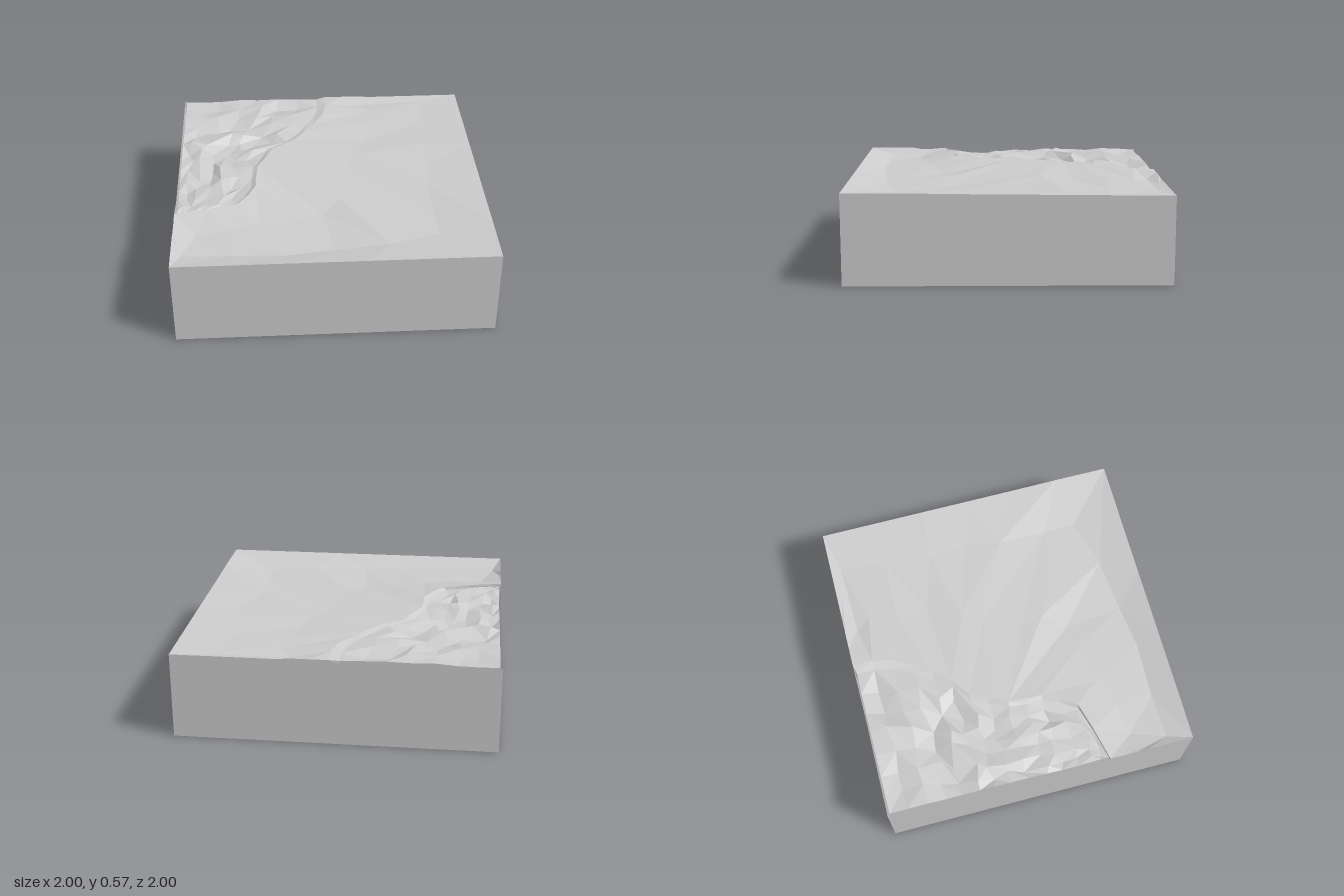
import * as THREE from 'three';

// Repeatable noise in -1..1
const noise = (i, j, k) => {
  const s = Math.sin(i * 127.1 + j * 311.7 + k * 74.7) * 43758.5453;
  return (s - Math.floor(s)) * 2 - 1;
};
const mix = (a, b, t) => a + (b - a) * t;

// Faceted surface over a grid of [x, y, z] points
function gridMesh(name, cols, rows, point, flip = false) {
  const pos = [], index = [];
  for (let i = 0; i < cols; i++) for (let j = 0; j < rows; j++) pos.push(...point(i, j));
  for (let i = 0; i < cols - 1; i++) for (let j = 0; j < rows - 1; j++) {
    const a = i * rows + j, b = a + rows, c = a + 1, d = b + 1;
    const tris = noise(i, j, 9) > 0 ? [[a, b, c], [b, d, c]] : [[a, b, d], [a, d, c]];
    for (const [p, q, r] of tris) index.push(...(flip ? [p, r, q] : [p, q, r]));
  }
  let geo = new THREE.BufferGeometry();
  geo.setAttribute('position', new THREE.Float32BufferAttribute(pos, 3));
  geo.setIndex(index);
  geo = geo.toNonIndexed();
  geo.computeVertexNormals();
  const mesh = new THREE.Mesh(geo, new THREE.MeshStandardMaterial({
    color: 0xcccccc, flatShading: true, side: THREE.DoubleSide }));
  mesh.name = name;
  return mesh;
}

// Bank line where the gentle ground meets the rocky corner: [x, z]
const bank = [[0.03, -1], [0.03, -0.87], [0, -0.74], [-0.07, -0.62], [-0.14, -0.51], [-0.23, -0.4],
  [-0.36, -0.31], [-0.41, -0.2], [-0.47, -0.08], [-0.48, 0.04], [-0.48, 0.14], [-0.53, 0.25],
  [-0.6, 0.35], [-0.78, 0.4], [-1, 0.45]];
// Outer border of the ground, one point per bank point
const border = [[0.35, -1], [0.7, -1], [1, -1], [1, -0.6], [1, -0.3], [1, 0], [1, 0.3], [1, 0.65],
  [1, 1], [0.6, 1], [0.2, 1], [-0.25, 1], [-0.65, 1], [-1, 1], [-1, 0.7]];
const N = bank.length;
const EDGE = -0.985;
const bankY = i => 0.56 + 0.005 * noise(i, 1, 4);

// Ground: sags between the bank and the higher outer rim
const GROUND_T = [0, 0.38, 0.74, 1];
const RIM = GROUND_T.length - 1;
function groundPoint(i, j) {
  const t = GROUND_T[j];
  let x = mix(bank[i][0], border[i][0], t), z = mix(bank[i][1], border[i][1], t);
  if (j === 0) return [x, bankY(i), z];
  if (j === RIM) return [x, z > 0.5 ? 0.567 : 0.558 + 0.01 * z, z];
  if (i === 0 || i === N - 1) return [x, 0.556, z];
  const k = i > N - 3 ? 0 : 0.05;
  x += k * noise(i, j, 1);
  z += k * noise(i, j, 2) * (z < -0.85 ? 0 : 1);
  const sag = 0.018 + (z > 0.3 ? 0.022 : 0);
  return [x, 0.555 - sag + 0.014 * noise(i, j, 3), z];
}

// Rocks: rows run along z, columns from the bank to the left side
const ROCK_T = [0, 0.06, 0.2, 0.34, 0.48, 0.62, 0.76, 0.9, 1];
const LAST = ROCK_T.length - 1;
function rockPoint(i, j) {
  const t = ROCK_T[j], width = bank[i][0] - EDGE;
  let x = mix(bank[i][0], EDGE, t), z = Math.max(EDGE, bank[i][1]);
  if (j === 0) return [x, bankY(i), bank[i][1]];
  const dip = 0.03 * t * Math.exp(-(((z - 0.2) / 0.18) ** 2));
  if (i === 0 || j === LAST) return [x, 0.553 - dip + 0.01 * noise(i, j, 7), z];
  if (j === 1 || i > N - 3) return [x, 0.545 - dip + 0.005 * noise(i, j, 7), z];
  const rough = Math.min(1, width / 0.75);
  x += 0.03 * rough * noise(i, j, 5);
  z += 0.035 * rough * noise(i, j, 6);
  return [x, 0.545 - dip + 0.03 * rough * noise(i, j, 8), z];
}

export function createModel() {
  const model = new THREE.Group();
  model.name = 'terrainBlock';

  // Gentle ground and the rough rocky corner
  model.add(gridMesh('ground', N, RIM + 1, groundPoint));
  model.add(gridMesh('rocks', N, LAST + 1, rockPoint, true));

  // Skirt hanging below the rocks along the back and left side, closed at the front end
  const hem = [];
  for (let j = 0; j < LAST; j++) hem.push(rockPoint(0, j));
  for (let i = 0; i < N; i++) hem.push(rockPoint(i, LAST));
  model.add(gridMesh('rockSkirt', hem.length, 2,
    (i, j) => (j ? [hem[i][0], 0.31, hem[i][2]] : hem[i]), true));
  model.add(gridMesh('rockSkirtEnd', 3, 2,
    (i, j) => (j ? [EDGE, 0.31, 0.45] : rockPoint(N - 3 + i, 0))));

  // Upright sides following the rim; the bottom stays open
  const rim = [];
  for (let j = 0; j < RIM; j++) rim.push(groundPoint(0, j));
  for (let i = 0; i < N; i++) rim.push(groundPoint(i, RIM));
  for (let j = RIM - 1; j >= 0; j--) rim.push(groundPoint(N - 1, j));
  rim.push([-1, 0.525, 0.25], [-1, 0.53, -0.2], [-1, 0.535, -0.6], [-1, 0.55, -1],
    [-0.65, 0.5, -1], [-0.37, 0.46, -1], [-0.1, 0.51, -1], rim[0]);
  model.add(gridMesh('sides', rim.length, 2, (i, j) => [rim[i][0], j ? 0 : rim[i][1], rim[i][2]]));
  return model;
}
